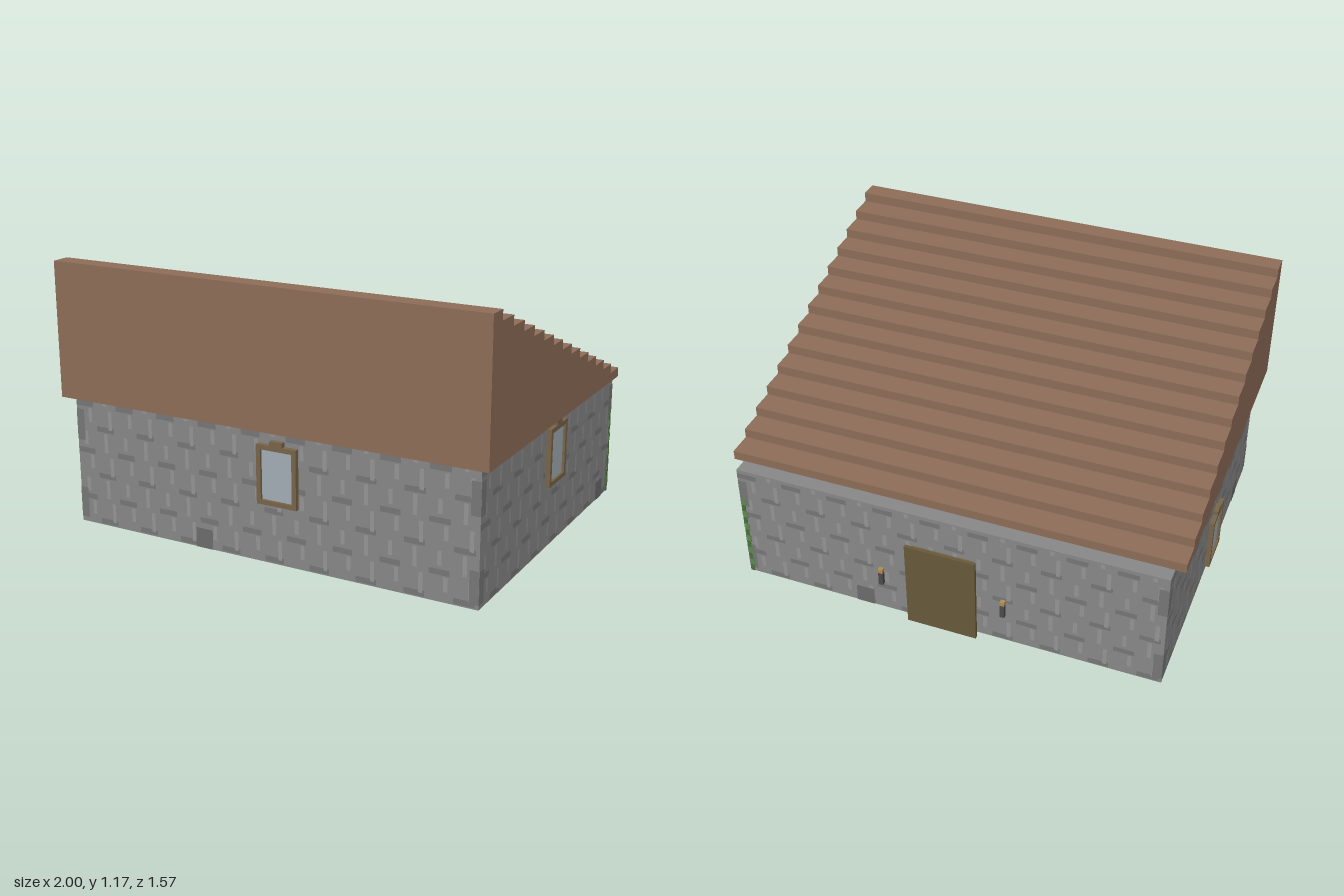
import * as THREE from 'three';
import { mergeGeometries } from 'three/addons/utils/BufferGeometryUtils.js';

const mat = (color) => new THREE.MeshStandardMaterial({ color });
const stone = mat(0x868686), stoneDark = mat(0x757575), stoneLight = mat(0x929292);
const roofWood = mat(0x8c6c57), frameWood = mat(0x776449), doorWood = mat(0x665839);
const glass = mat(0x9fabb2), iron = mat(0x4a4a4a), flame = mat(0xb08a50);
const leaf = mat(0x5a8a4a), leafDark = mat(0x4a6e40);

const W = 0.955, D = 0.745, H = 0.577;

// Box given by its lower and upper corners
function box(name, x0, x1, y0, y1, z0, z1, material) {
  const m = new THREE.Mesh(new THREE.BoxGeometry(x1 - x0, y1 - y0, z1 - z0), material);
  m.position.set((x0 + x1) / 2, (y0 + y1) / 2, (z0 + z1) / 2);
  m.name = name;
  return m;
}

// Flat stone patch lying just off a wall
function patch(x0, x1, y0, y1, z) {
  return new THREE.PlaneGeometry(x1 - x0, y1 - y0).translate((x0 + x1) / 2, (y0 + y1) / 2, z);
}

// Staggered masonry: dark bed joints and light upright joints
function masonry(half) {
  const g = new THREE.Group();
  g.name = 'masonry';
  const dark = [], light = [], rowH = 0.106;
  const count = Math.round((2 * half) / 0.105), step = (2 * half) / count;
  for (let r = 0; r < 6; r++) {
    const y = r * rowH;
    const top = Math.min(y + rowH, H - 0.005);
    for (let i = 0; i < count; i++) {
      const x = -half + i * step;
      if ((i + r) % 2) dark.push(patch(x, x + step * 0.85, y + 0.006, y + 0.03, 0.001));
      const lx = x + step * (r % 2 ? 0.35 : 0.6);
      const low = i % 2 ? y + 0.02 : y + 0.045;
      if (top > low) light.push(patch(lx, lx + 0.018, low, top, 0.0015));
    }
  }
  // Alternating corner stones
  for (const s of [-1, 1])
    for (const y of [0.02, 0.38]) {
      const a = s * half, b = s * (half - 0.04);
      dark.push(patch(Math.min(a, b), Math.max(a, b), y, y + 0.14, 0.002));
    }
  const add = (name, list, material) => {
    const m = new THREE.Mesh(mergeGeometries(list), material);
    m.name = name;
    g.add(m);
  };
  add('darkJoints', dark, stoneDark);
  add('lightJoints', light, stoneLight);
  return g;
}

// Framed window with a small block on its head
function makeWindow(x, y) {
  const g = new THREE.Group(), w = 0.093, h = 0.255, t = 0.02;
  g.name = 'window';
  for (const s of [-1, 1]) {
    const c = s * (w - t / 2);
    g.add(box('frameSide', c - t / 2, c + t / 2, 0, h, 0, 0.021, frameWood));
  }
  g.add(box('frameSill', -w + t, w - t, 0, t, 0, 0.021, frameWood));
  g.add(box('frameHead', -w + t, w - t, h - t, h, 0, 0.021, frameWood));
  g.add(box('frameBlock', -0.03, 0.03, h, h + 0.02, 0, 0.021, frameWood));
  g.add(box('glass', -w + t, w - t, t, h - t, 0, 0.01, glass));
  g.position.set(x, y, 0);
  return g;
}

// Climbing plant in a narrow strip
function makeVine(x) {
  const g = new THREE.Group();
  g.name = 'vine';
  for (let i = 0; i < 12; i++) {
    const dx = i % 2 ? 0.003 : -0.003;
    g.add(box('leaf', x - 0.009 + dx, x + 0.009 + dx, i * 0.035, (i + 1) * 0.035,
      0, 0.0028, i % 2 ? leaf : leafDark));
  }
  return g;
}

// Stepped roof: profile in z and y, extruded across the house
function makeRoof() {
  const steps = 14, run = 0.1062, rise = 0.0426, y0 = 0.575;
  const s = new THREE.Shape();
  s.moveTo(-0.785, y0);
  let z = 0.68;
  s.lineTo(z, y0);
  for (let i = 1; i <= steps; i++) {
    const y = y0 + i * rise;
    s.lineTo(z, y);
    z = i === steps ? -0.785 : z - run;
    s.lineTo(z, y);
  }
  const geo = new THREE.ExtrudeGeometry(s, { depth: 2, bevelEnabled: false });
  geo.translate(0, 0, -1).rotateY(Math.PI / 2);
  const m = new THREE.Mesh(geo, roofWood);
  m.name = 'roof';
  return m;
}

export function createModel() {
  const model = new THREE.Group();
  model.name = 'house';
  model.add(box('walls', -W, W, 0, H, -D, D, stone), makeRoof());

  // Each side is built facing +z, then turned into place
  const sides = [
    { name: 'frontSide', turn: 0, half: W, dist: D, win: [0.07, 0.26], block: -0.3 },
    { name: 'leftSide', turn: 1, half: D, dist: W, win: [0.01, 0.28], block: 0.615, vine: 0.732 },
    { name: 'backSide', turn: 2, half: W, dist: D, block: -0.38, vine: -0.942 },
    { name: 'rightSide', turn: -1, half: D, dist: W, win: [0.065, 0.025], block: 0.52 },
  ];
  for (const s of sides) {
    const g = new THREE.Group();
    g.name = s.name;
    g.add(masonry(s.half));
    const b = new THREE.Mesh(patch(s.block - 0.042, s.block + 0.042, 0, 0.087, 0.0025), mat(0x6a6a6a));
    b.name = 'darkStone';
    g.add(b);
    if (s.win) g.add(makeWindow(...s.win));
    if (s.vine) g.add(makeVine(s.vine));
    g.rotation.y = (s.turn * Math.PI) / 2;
    g.position.set(Math.sin(g.rotation.y) * s.dist, 0, Math.cos(g.rotation.y) * s.dist);
    model.add(g);
  }

  // Door at the back: a backing frame and a larger leaf
  model.add(box('doorFrame', -0.13, 0.145, 0, 0.405, -0.77, -D, frameWood));
  model.add(box('door', -0.15, 0.165, 0, 0.425, -0.785, -0.77, doorWood));

  // Torches either side of the door
  for (const x of [-0.27, 0.283]) {
    const t = new THREE.Group();
    t.name = 'torch';
    t.add(box('torchHandle', x - 0.01, x + 0.01, 0.17, 0.235, -0.786, -0.768, iron));
    t.add(box('torchHead', x - 0.01, x + 0.01, 0.235, 0.255, -0.786, -0.768, flame));
    model.add(t);
  }
  return model;
}
